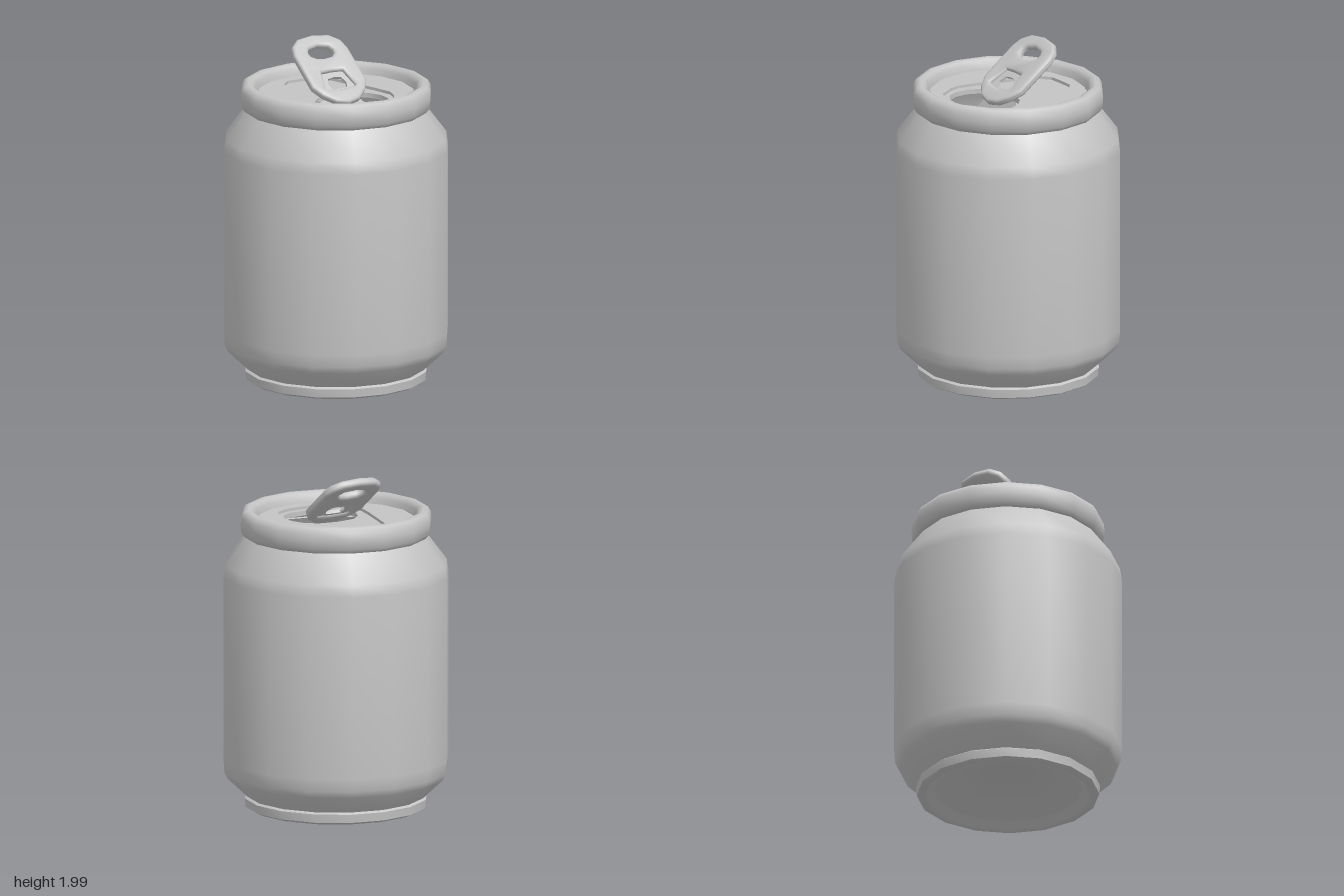
import * as THREE from 'three';
import { toCreasedNormals } from 'three/addons/utils/BufferGeometryUtils.js';

// Closed outline from its +x half, mirrored to -x
function mirrored(half, Type = THREE.Shape) {
  const pts = half.map(([x, y]) => new THREE.Vector2(x, y));
  const other = half.filter(([x]) => x > 0).reverse().map(([x, y]) => new THREE.Vector2(-x, y));
  return new Type([...pts, ...other]);
}

function part(name, geometry, material, crease = 0.9) {
  const mesh = new THREE.Mesh(toCreasedNormals(geometry, crease), material);
  mesh.name = name;
  return mesh;
}

// Horizontal plate: outlines are drawn in x and -z
function plate(shape, holes, y, depth) {
  shape.holes.push(...holes);
  const g = new THREE.ExtrudeGeometry(shape, { depth, bevelEnabled: false });
  return g.rotateX(-Math.PI / 2).translate(0, y, 0);
}

export function createModel() {
  const can = new THREE.Group();
  can.name = 'can';
  const metal = new THREE.MeshStandardMaterial({ color: 0xc4c4c4, side: THREE.DoubleSide });
  metal.name = 'grey metal';
  const SIDES = 16;
  const lathe = (pts) => new THREE.LatheGeometry(pts.map(([r, y]) => new THREE.Vector2(r, y)), SIDES);

  // Domed base, foot ring, wall and shoulder
  can.add(part('body', lathe([
    [0, 0.16], [0.2, 0.145], [0.33, 0.105], [0.42, 0.05], [0.45, 0.04], [0.465, 0.01], [0.5, 0.0],
    [0.53, 0.015], [0.535, 0.065], [0.52, 0.075], [0.635, 0.185], [0.655, 0.225],
    [0.66, 0.3], [0.66, 1.38], [0.65, 1.45], [0.53, 1.61], [0.51, 1.64],
  ]), metal));

  // Rolled rim with its inner wall
  can.add(part('rim', lathe([
    [0.51, 1.61], [0.535, 1.615], [0.555, 1.64], [0.56, 1.69], [0.557, 1.735], [0.54, 1.763],
    [0.515, 1.772], [0.49, 1.763], [0.475, 1.74], [0.468, 1.69], [0.45, 1.69],
  ]), metal));

  // Lid with a teardrop recess
  const disc = new THREE.Shape(Array.from({ length: SIDES }, (_, i) => {
    const a = i / SIDES * Math.PI * 2;
    return new THREE.Vector2(Math.cos(a) * 0.456, Math.sin(a) * 0.456);
  }));
  const teardrop = [[0, -0.38], [0.1, -0.37], [0.19, -0.33], [0.25, -0.23], [0.27, -0.16],
    [0.25, -0.05], [0.165, 0.29], [0.14, 0.335], [0.09, 0.375], [0, 0.378]];
  can.add(part('lid', plate(disc, [mirrored(teardrop, THREE.Path)], 1.69, 0.02), metal, 0.5));

  // Recessed panel with the drinking hole
  const mouth = [[0, -0.34], [0.11, -0.33], [0.18, -0.29], [0.215, -0.22], [0.22, -0.14],
    [0.185, -0.06], [0.12, 0.0], [0, 0.02]];
  can.add(part('recessedPanel',
    plate(mirrored(teardrop), [mirrored(mouth, THREE.Path)], 1.665, 0.028), metal, 0.5));

  // Flap pushed down into the can
  const flapShape = mirrored([[0, 0], [0.12, 0], [0.19, 0.07], [0.215, 0.17], [0.21, 0.26],
    [0.12, 0.31], [0, 0.33]]);
  const flap = part('mouthFlap',
    new THREE.ExtrudeGeometry(flapShape, { depth: 0.012, bevelEnabled: false }), metal, 0.5);
  flap.rotation.x = THREE.MathUtils.degToRad(158);
  flap.position.set(0, 1.68, 0.03);
  can.add(flap);

  // Raised pull tab: rounded frame with a finger hole and a riveting plate
  const tab = new THREE.Group();
  tab.name = 'pullTab';
  const frame = mirrored([[0, -0.24], [0.07, -0.222], [0.13, -0.17], [0.165, -0.11], [0.165, 0.13],
    [0.148, 0.185], [0.1, 0.225], [0, 0.24]]);
  frame.holes.push(
    mirrored([[0, 0.06], [0.06, 0.068], [0.1, 0.1], [0.106, 0.14], [0.08, 0.18], [0, 0.198]], THREE.Path),
    mirrored([[0, -0.175], [0.1, -0.165], [0.125, -0.14], [0.09, 0.0], [0, 0.005]], THREE.Path));
  const frameGeo = new THREE.ExtrudeGeometry(frame, {
    depth: 0.012, bevelSize: 0.02, bevelThickness: 0.019, bevelSegments: 3,
  }).translate(0, 0, -0.006);
  tab.add(part('tabFrame', frameGeo, metal));

  const tongue = mirrored([[0, -0.17], [0.12, -0.165], [0.09, 0.0], [0, 0.0]]);
  tongue.holes.push(mirrored([[0, -0.14], [0.05, -0.135], [0.062, -0.1], [0.045, -0.06],
    [0, -0.052]], THREE.Path));
  const tongueGeo = new THREE.ExtrudeGeometry(tongue, { depth: 0.014, bevelEnabled: false })
    .translate(0, 0, -0.014);
  tab.add(part('tabTongue', tongueGeo, metal, 0.5));
  tab.rotation.x = THREE.MathUtils.degToRad(-53);
  tab.position.set(0, 1.826, -0.065);
  can.add(tab);

  return can;
}
